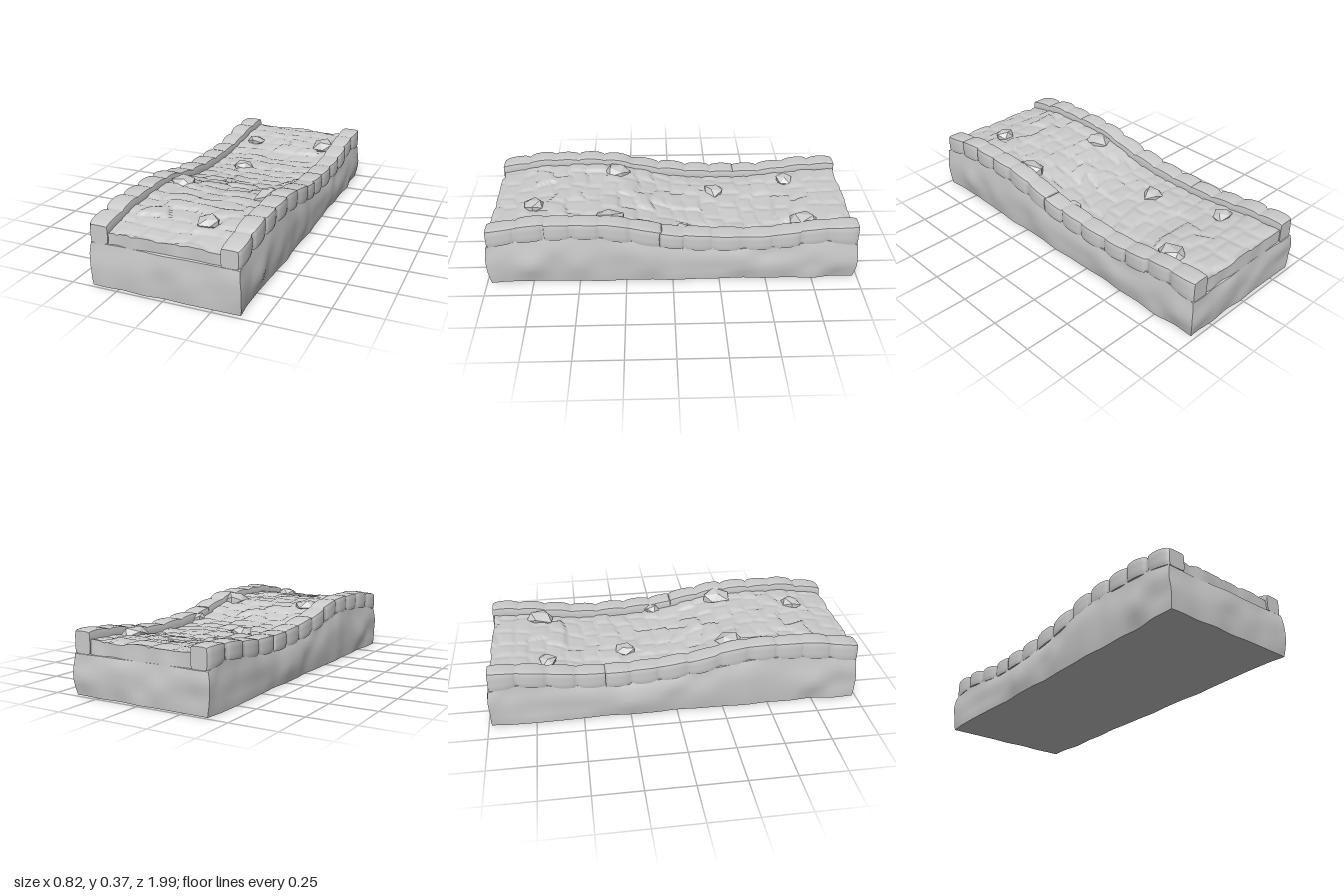
import * as THREE from 'three';

const material = new THREE.MeshStandardMaterial({ color: 0xcccccc });

// Repeatable value noise
const hash = (a, b) => {
  const s = Math.sin(a * 127.1 + b * 311.7) * 43758.5453;
  return (s - Math.floor(s)) * 2 - 1;
};
const ease = (t) => t * t * (3 - 2 * t);
function noise(x, y) {
  const i = Math.floor(x), j = Math.floor(y), u = ease(x - i), v = ease(y - j);
  const mix = THREE.MathUtils.lerp;
  return mix(mix(hash(i, j), hash(i + 1, j), u), mix(hash(i, j + 1), hash(i + 1, j + 1), u), v);
}

// Rolling height of the road along z, as [z, height of the curb top, curb underside]
const ridge = [
  [-1, 0.33, 0.215], [-0.82, 0.322, 0.238], [-0.62, 0.3, 0.215], [-0.45, 0.283, 0.2],
  [-0.15, 0.287, 0.203], [0.05, 0.31, 0.228], [0.3, 0.36, 0.27], [0.45, 0.372, 0.288],
  [0.7, 0.372, 0.28], [0.88, 0.347, 0.258], [1, 0.33, 0.235],
];
const ridgeCurve = (k) => new THREE.SplineCurve(ridge.map((p) => new THREE.Vector2(p[0], p[k])))
  .getPoints(200);
const tables = [null, ridgeCurve(1), ridgeCurve(2)];
function heightAt(z, k) {
  const pts = tables[k];
  let i = 1;
  while (i < pts.length - 1 && pts[i].x < z) i++;
  const a = pts[i - 1], b = pts[i];
  return THREE.MathUtils.mapLinear(z, a.x, b.x, a.y, b.y);
}
const curbTop = (z) => heightAt(z, 1);
const curbBase = (z) => heightAt(z, 2);

// Cobbled road surface: staggered rows of slightly uneven, domed stones
function roadTop(x, z) {
  const wx = x + 0.025 * noise(x * 9, z * 9), wz = z + 0.03 * noise(x * 8 + 40, z * 8);
  const row = Math.floor(wz / 0.095), fz = wz / 0.095 - row;
  const sx = wx / 0.14 + hash(row, 7) * 0.5, col = Math.floor(sx), fx = sx - col;
  const dome = Math.min(1, 5 * Math.min(fx, 1 - fx, fz, 1 - fz));
  return curbTop(z) - 0.043 + 0.006 * hash(col, row) + 0.007 * dome + 0.006 * noise(x * 6, z * 6);
}

// A subdivided unit box whose corners are moved by a rule (u, v, w run from 0 to 1)
function shapedBox(name, segments, rule) {
  const geometry = new THREE.BoxGeometry(1, 1, 1, ...segments);
  const pos = geometry.attributes.position;
  for (let i = 0; i < pos.count; i++) {
    pos.setXYZ(i, ...rule(pos.getX(i) + 0.5, pos.getY(i) + 0.5, pos.getZ(i) + 0.5));
  }
  geometry.computeVertexNormals();
  const mesh = new THREE.Mesh(geometry, material);
  mesh.name = name;
  return mesh;
}

function makeBase() {
  return shapedBox('earthBase', [24, 8, 72], (u, v, w) => {
    const side = 2 * u - 1, end = 2 * w - 1;
    const bulge = Math.sin(Math.PI * v);
    const z0 = end * 0.985;
    const y = v * (curbBase(z0) + 0.004 - 0.008 * Math.abs(end) ** 20) + 0.004 * (1 - v);
    const x = side * (0.387 + 0.014 * bulge + 0.009 * noise(z0 * 8 + side * 30, v * 2.5));
    const z = end * (0.98 + 0.009 * bulge + 0.008 * noise(side * 3.5 + end * 50, v * 2.5));
    return [x, y, z];
  });
}

function makeRoad() {
  return shapedBox('cobbledRoad', [56, 4, 160], (u, v, w) => {
    const end = 2 * w - 1, x = (u - 0.5) * 0.62;
    const z = end * (0.972 + 0.006 * noise(x * 12, end * 4 + v));
    const bottom = Math.min(0.195, curbBase(z) - 0.01);
    return [x, THREE.MathUtils.lerp(bottom, roadTop(x, z), v), z];
  });
}

// One curb: a row of worn stones, pinched at every joint
function makeCurb(name, side) {
  const count = 13;
  return shapedBox(name, [6, 6, 156], (u, v, w) => {
    const t = w * count, stone = Math.min(count - 1, Math.floor(t));
    const swell = Math.pow(Math.abs(Math.sin(Math.PI * t)), 0.5);
    const z = (2 * w - 1) * 0.98 + 0.02 * noise(stone * 0.7 + side * 9, 3) * Math.sin(Math.PI * w);
    const inner = 0.293, outer = 0.383 + 0.016 * swell + 0.004 * hash(stone, side);
    const a = 2 * u - 1, b = 2 * v - 1;
    // Ease the corners of the cross-section
    const ra = a * (1 - 0.07 * b ** 6), rb = b * (1 - 0.07 * a ** 6);
    const out = side > 0 ? (ra + 1) / 2 : (1 - ra) / 2;
    const top = curbTop(z) - 0.006 + 0.009 * swell + 0.004 * hash(stone, side + 5);
    const low = curbBase(z) - 0.004 - 0.004 * swell;
    return [side * THREE.MathUtils.lerp(inner, outer, out),
      THREE.MathUtils.lerp(low, top, (rb + 1) / 2), z];
  });
}

// Loose faceted rock half sunk in the road
function makeRock([x, z, rx, rz, rise], index) {
  const geometry = new THREE.IcosahedronGeometry(1, 0);
  const pos = geometry.attributes.position;
  for (let i = 0; i < pos.count; i++) {
    const p = new THREE.Vector3().fromBufferAttribute(pos, i);
    const key = Math.round(p.x * 10) + Math.round(p.y * 10) * 3.7;
    p.multiplyScalar(1 + 0.14 * hash(key, Math.round(p.z * 10) + index * 5));
    pos.setXYZ(i, p.x, p.y, p.z);
  }
  geometry.rotateY(index * 1.3);
  geometry.scale(rx, rise, rz);
  geometry.computeVertexNormals();
  const rock = new THREE.Mesh(geometry, material);
  rock.position.set(x, curbTop(z) - 0.036, z);
  rock.name = 'rock' + (index + 1);
  return rock;
}

export function createModel() {
  const model = new THREE.Group();
  model.name = 'roadSection';
  model.add(makeBase(), makeRoad(), makeCurb('leftCurb', 1), makeCurb('rightCurb', -1));

  // x, z, half width, half depth, half height
  const rocks = [
    [-0.21, -0.67, 0.06, 0.05, 0.034], [0.24, -0.71, 0.065, 0.09, 0.045],
    [-0.12, -0.25, 0.06, 0.06, 0.036], [0.29, -0.05, 0.045, 0.05, 0.04],
    [-0.23, 0.31, 0.07, 0.075, 0.038], [0.265, 0.33, 0.065, 0.09, 0.048],
    [0.13, 0.75, 0.058, 0.06, 0.034],
  ];
  rocks.forEach((r, i) => model.add(makeRock(r, i)));
  return model;
}
